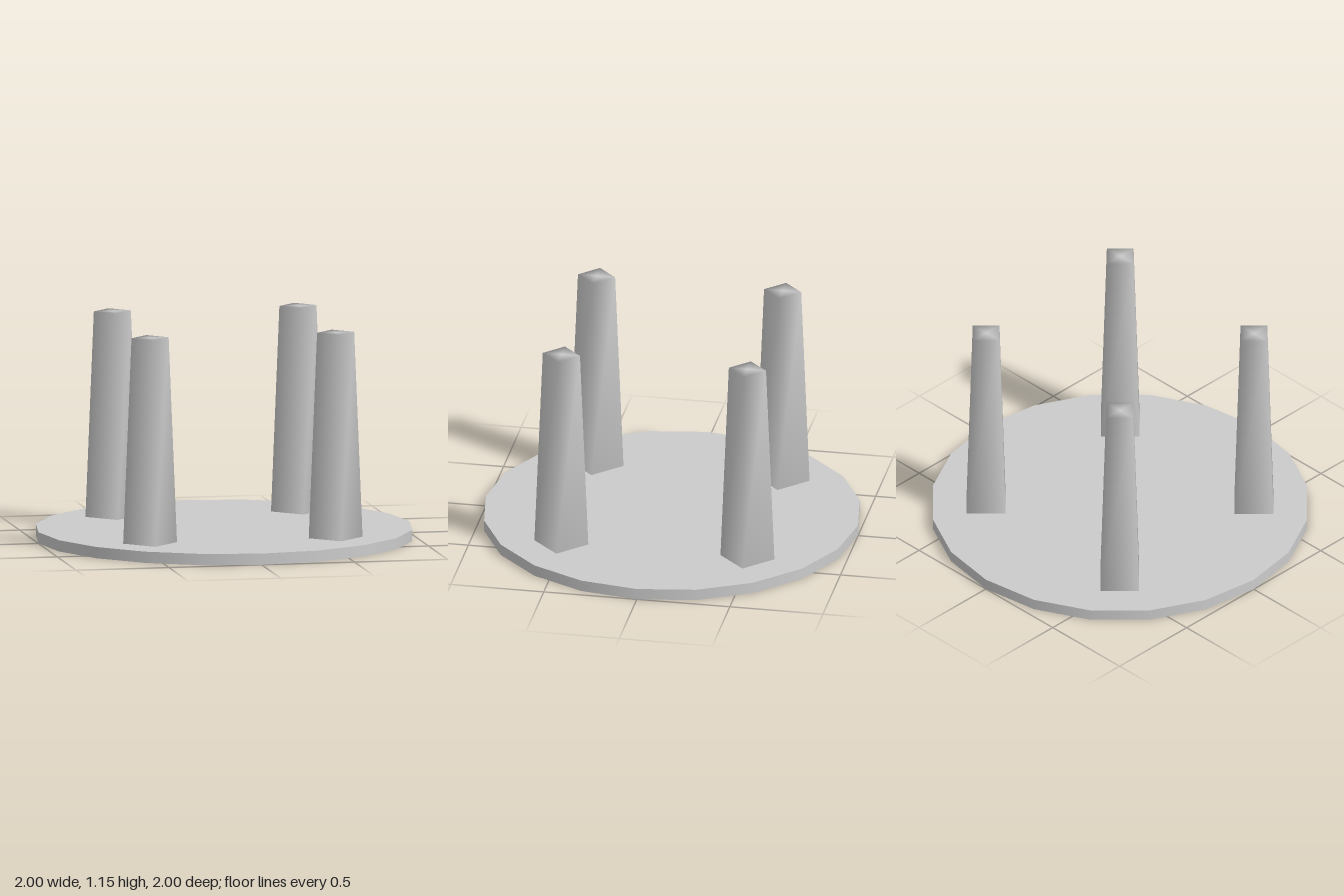
import * as THREE from 'three';
import { mergeVertices } from 'three/addons/utils/BufferGeometryUtils.js';

const TOP_THICKNESS = 0.06;
const LEG_HEIGHT = 1.095;
const LEG_OFFSET = 0.5;

// Weld the cap to the sides so the normals blend over every edge
function smooth(geometry) {
  geometry.deleteAttribute('normal');
  geometry.deleteAttribute('uv');
  const welded = mergeVertices(geometry);
  welded.computeVertexNormals();
  return welded;
}

export function createModel() {
  const group = new THREE.Group();
  group.name = 'upturnedTable';
  const material = new THREE.MeshStandardMaterial({ color: 0xcccccc });

  // Round twenty-sided table top, lying face down
  const top = new THREE.Mesh(new THREE.CylinderGeometry(1, 1, TOP_THICKNESS, 20), material);
  top.name = 'tableTop';
  top.position.y = TOP_THICKNESS / 2;
  group.add(top);

  // Four tapered four-sided legs, corners pointing along the axes
  const legGeometry = smooth(new THREE.CylinderGeometry(0.1, 0.145, LEG_HEIGHT, 4));
  for (const [z, end] of [[1, 'front'], [-1, 'back']]) {
    for (const [x, side] of [[1, 'Left'], [-1, 'Right']]) {
      const leg = new THREE.Mesh(legGeometry, material);
      leg.name = `${end}${side}Leg`;
      leg.position.set(x * LEG_OFFSET, TOP_THICKNESS + LEG_HEIGHT / 2, z * LEG_OFFSET);
      group.add(leg);
    }
  }
  return group;
}
